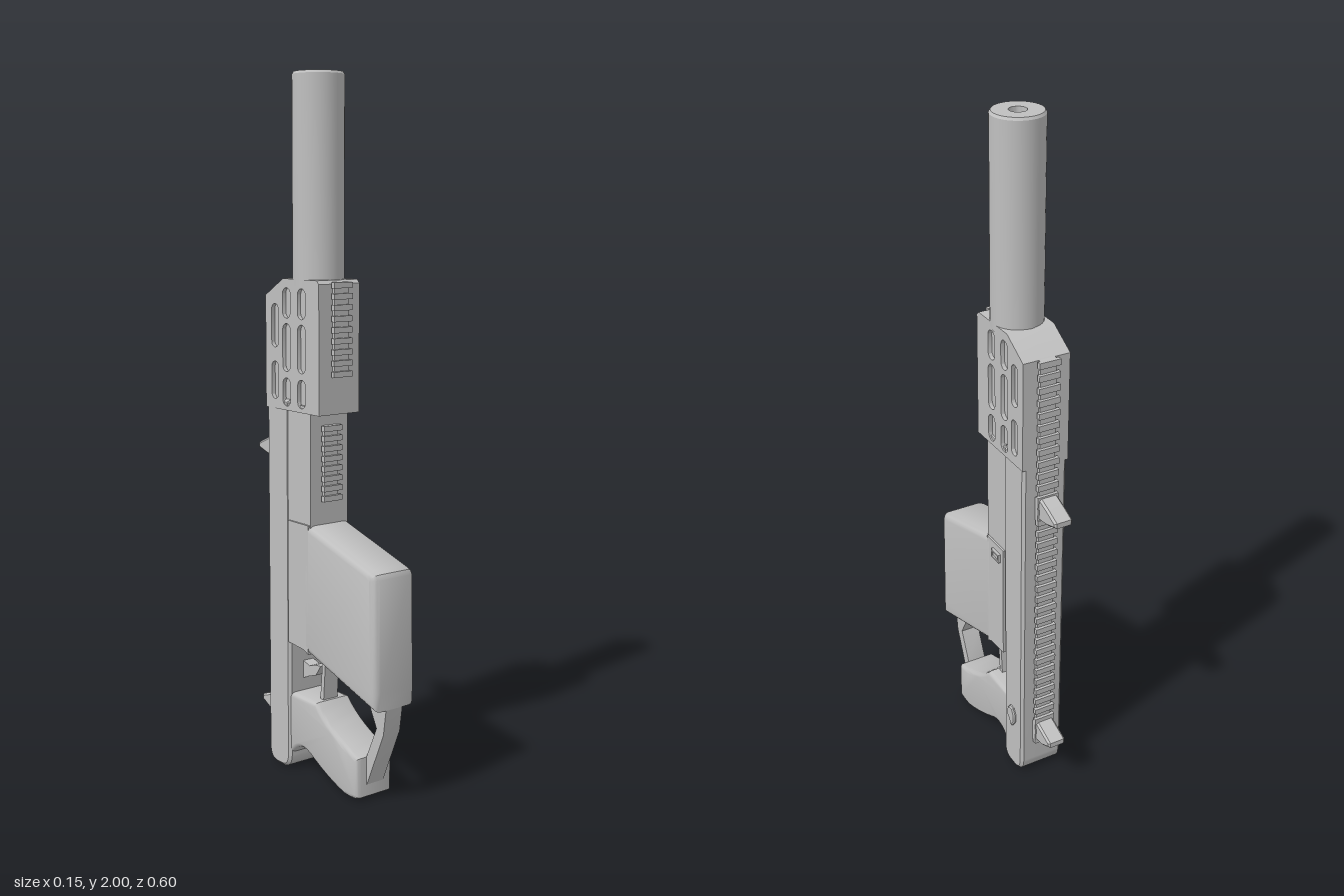
import * as THREE from 'three';
import { toCreasedNormals } from 'three/addons/utils/BufferGeometryUtils.js';

export function createModel() {
  const root = new THREE.Group();
  root.name = 'model';
  const gray = new THREE.MeshStandardMaterial({ color: 0xc0c0c0 });
  gray.name = 'plain gray';
  const CX = -0.003; // centre plane

  const add = (name, geo, parent = root) => {
    const m = new THREE.Mesh(geo, gray);
    m.name = name;
    parent.add(m);
    return m;
  };
  const box = (name, x, y, z, w, h, d, parent) => {
    const m = add(name, new THREE.BoxGeometry(w, h, d), parent);
    m.position.set(x, y, z);
    return m;
  };
  // Side profile of [z, y] points extruded across x
  const toShape = (pts) => new THREE.Shape(pts.map(([z, y]) => new THREE.Vector2(z, y)));
  const profile = (name, shape, width, bevel = 0, x = CX, segments = 1) => {
    let g = new THREE.ExtrudeGeometry(shape, {
      depth: width - 2 * bevel, bevelEnabled: bevel > 0, bevelSize: bevel,
      bevelThickness: bevel, bevelOffset: -bevel, bevelSegments: segments, curveSegments: 8,
    });
    g.translate(0, 0, -(width - 2 * bevel) / 2);
    g.rotateY(-Math.PI / 2);
    g = toCreasedNormals(g, 0.6);
    g.translate(x, 0, 0);
    return add(name, g);
  };

  // Long tube with a recessed bore
  const tube = add('barrelTube', toCreasedNormals(new THREE.LatheGeometry(
    [[0, 1.42], [0.0725, 1.42], [0.0725, 1.993], [0.068, 2], [0.024, 2], [0.024, 1.94], [0, 1.94]]
      .map(([r, y]) => new THREE.Vector2(r, y)), 40), 0.4));
  tube.position.set(CX, 0, -0.044);

  // Rear spine with rounded lower end
  const spine = new THREE.Shape();
  spine.moveTo(-0.095, 1.1);
  spine.lineTo(-0.2, 1.1);
  spine.lineTo(-0.2, 0.05);
  spine.quadraticCurveTo(-0.198, 0.005, -0.16, 0.004);
  spine.lineTo(-0.13, 0.004);
  spine.quadraticCurveTo(-0.097, 0.008, -0.095, 0.045);
  spine.closePath();
  profile('rearSpine', spine, 0.136, 0.008);

  // Front receiver between handguard and main housing
  box('frontReceiver', CX, 0.91, -0.05, 0.132, 0.36, 0.11);

  // Handguard: solid core with slotted side plates
  const guardPts = [[0.05, 1.07], [0.05, 1.43], [0.04, 1.44], [-0.115, 1.44], [-0.2, 1.39], [-0.2, 1.07]];
  profile('handguardCore', toShape(guardPts), 0.118);
  const slot = (z, y0, y1, w) => {
    const p = new THREE.Path(), r = w / 2;
    p.absarc(z, y1 - r, r, 0, Math.PI, false);
    p.absarc(z, y0 + r, r, Math.PI, 2 * Math.PI, false);
    p.closePath();
    return p;
  };
  for (const side of [-1, 1]) {
    const s = toShape(guardPts);
    for (const z of [-0.03, -0.1]) {
      s.holes.push(slot(z, 1.33, 1.415, 0.036), slot(z, 1.18, 1.315, 0.036), slot(z, 1.082, 1.162, 0.036));
    }
    s.holes.push(slot(-0.155, 1.245, 1.368, 0.032), slot(-0.155, 1.098, 1.205, 0.032));
    profile(side > 0 ? 'leftGuardPlate' : 'rightGuardPlate', s, 0.012, 0, CX + side * 0.0645);
  }

  // Toothed rails; dir is the way the teeth point along z
  const rail = (name, y0, y1, z, dir, count, w, toothH) => {
    const g = new THREE.Group();
    g.name = name;
    root.add(g);
    box('railBase', CX, (y0 + y1) / 2, z + dir * 0.004, w * 0.75, y1 - y0, 0.012, g);
    for (let i = 0; i < count; i++) {
      const y = y0 + toothH / 2 + (y1 - y0 - toothH) * i / (count - 1);
      box('railTooth', CX, y, z + dir * 0.013, w, toothH, 0.012, g);
    }
  };
  rail('upperFrontRail', 1.175, 1.435, 0.05, 1, 9, 0.064, 0.016);
  rail('lowerFrontRail', 0.82, 1.035, 0.005, 1, 8, 0.064, 0.016);
  rail('rearRail', 0.12, 1.39, -0.2, -1, 35, 0.064, 0.018);

  // Rear sights
  const sights = {
    upperSight: [[-0.2, 0.98], [-0.225, 0.98], [-0.26, 0.967], [-0.303, 0.948], [-0.303, 0.932], [-0.26, 0.918], [-0.2, 0.91]],
    lowerSight: [[-0.2, 0.2], [-0.225, 0.197], [-0.292, 0.172], [-0.292, 0.156], [-0.25, 0.135], [-0.2, 0.13]],
  };
  for (const [name, pts] of Object.entries(sights)) {
    profile(name, toShape(pts), 0.056, 0.006);
    box(name + 'Foot', CX, (pts[0][1] + pts[pts.length - 1][1]) / 2, -0.21, 0.064, 0.074, 0.014);
  }

  // Main housing: rounded front block and square rear block
  const housing = toShape([[-0.03, 0.762], [-0.03, 0.385], [0, 0.378], [0.297, 0.288], [0.3, 0.34], [0.293, 0.655],
    [0.286, 0.668], [0.265, 0.676], [0, 0.754]]);
  profile('housingFront', housing, 0.144, 0.02, CX, 4);
  profile('housingRear', toShape([[0, 0.754], [-0.095, 0.754], [-0.095, 0.394], [-0.02, 0.388], [0, 0.378]]), 0.144);

  // Grip
  const grip = new THREE.Shape();
  grip.moveTo(-0.12, 0.237);
  grip.lineTo(0.02, 0.237);
  grip.quadraticCurveTo(0.08, 0.17, 0.213, 0.13);
  grip.lineTo(0.213, 0.015);
  grip.quadraticCurveTo(0.2, 0.004, 0.15, 0.008);
  grip.quadraticCurveTo(0.08, 0.025, -0.01, 0.075);
  grip.quadraticCurveTo(-0.06, 0.1, -0.095, 0.055);
  grip.lineTo(-0.12, 0.055);
  grip.closePath();
  profile('grip', grip, 0.124, 0.012, CX, 3);

  // Guard struts and trigger
  profile('frontGuardStrut', toShape([[0.297, 0.3], [0.2, 0.33], [0.255, 0.225], [0.212, 0.13],
    [0.205, 0.05], [0.215, 0.05], [0.285, 0.215]]), 0.058);
  profile('rearGuardStrut', toShape([[0.022, 0.385], [0.009, 0.385], [-0.006, 0.22], [0.01, 0.22]]), 0.05);
  profile('trigger', toShape([[-0.012, 0.33], [-0.04, 0.327], [-0.065, 0.318], [-0.1, 0.328], [-0.1, 0.272],
    [-0.065, 0.287], [-0.035, 0.297]]), 0.036);

  // Left side controls: release button frame and selector
  const frame = toShape([[-0.037, 0.733], [-0.08, 0.733], [-0.08, 0.706], [-0.037, 0.706]]);
  frame.holes.push(toShape([[-0.043, 0.727], [-0.074, 0.727], [-0.074, 0.712], [-0.043, 0.712]]));
  profile('releaseFrame', frame, 0.014, 0, 0.07);
  box('releaseButton', 0.067, 0.7195, -0.0585, 0.012, 0.016, 0.032);
  profile('selector', toShape([[-0.125, 0.21], [-0.135, 0.225], [-0.155, 0.225], [-0.166, 0.205], [-0.166, 0.18],
    [-0.15, 0.157], [-0.14, 0.157], [-0.137, 0.175], [-0.125, 0.185]]), 0.02, 0.004, 0.063);
  return root;
}
